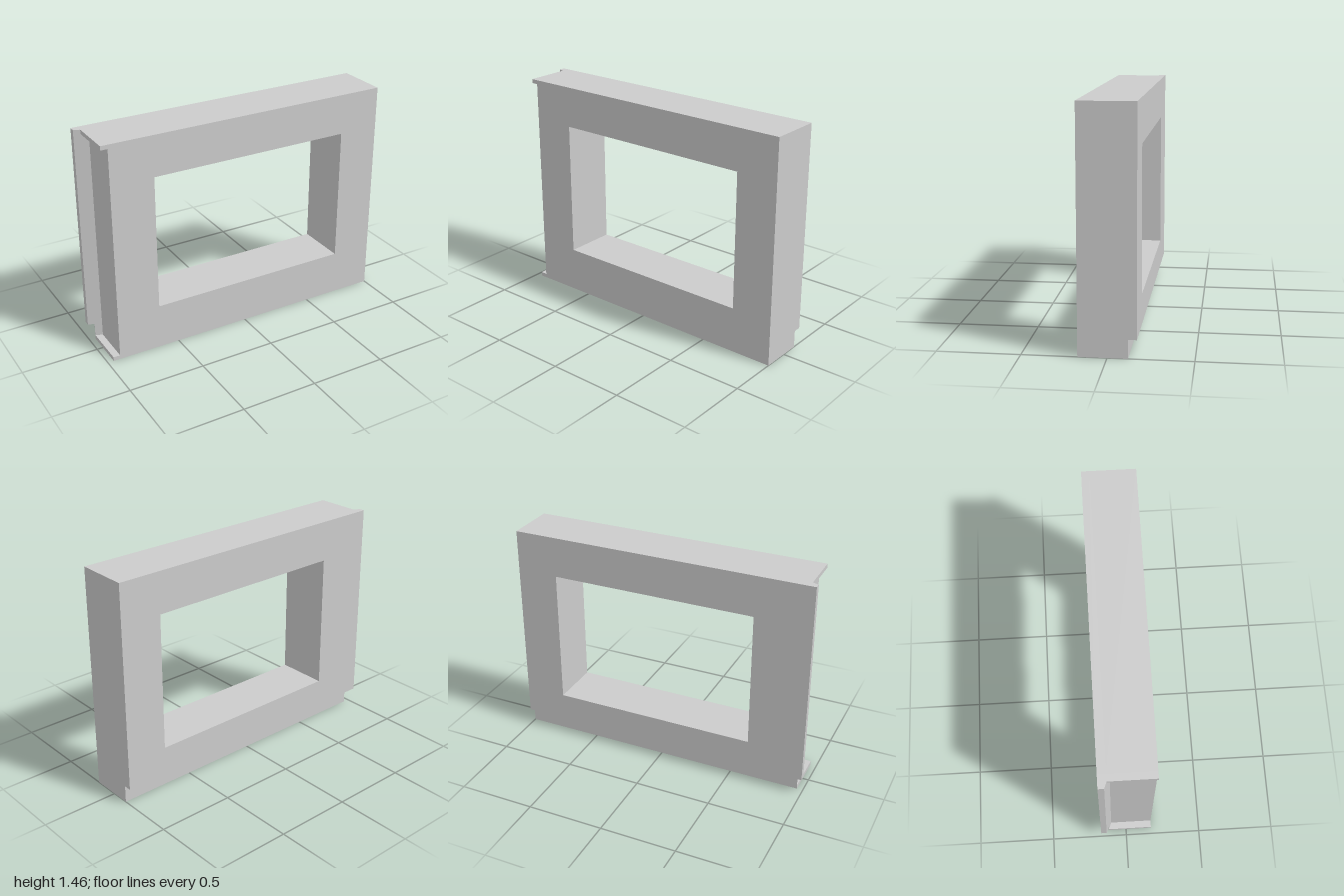
import * as THREE from 'three';

const HEIGHT = 1.463, FRONT = 0.171, BACK = -0.171, STEP = -0.12;
const WALL = -0.915, CAP = -0.96, LIP = -1, RIGHT = 1;
const SILL = 0.113, CAP_T = 0.027;

const material = new THREE.MeshStandardMaterial({ color: 0xcccccc, flatShading: true });

const shapeOf = (points) => new THREE.Shape(points.map(([x, y]) => new THREE.Vector2(x, y)));
const rect = (x0, y0, x1, y1) => [[x0, y0], [x1, y0], [x1, y1], [x0, y1]];

function addMesh(group, name, geometry) {
  const mesh = new THREE.Mesh(geometry, material);
  mesh.name = name;
  group.add(mesh);
}

// Rectangular slab with the window opening cut through it
function frameSlab(bottom, z0, z1) {
  const shape = shapeOf(rect(WALL, bottom, RIGHT, HEIGHT));
  shape.holes.push(shapeOf(rect(-0.63, 0.3, 0.725, 1.195)));
  return new THREE.ExtrudeGeometry(shape, { depth: z1 - z0, bevelEnabled: false }).translate(0, 0, z0);
}

// Plan outline given as [x, z], raised from y0 to y1
function planPrism(points, y0, y1) {
  const shape = shapeOf(points.map(([x, z]) => [x, -z]));
  return new THREE.ExtrudeGeometry(shape, { depth: y1 - y0, bevelEnabled: false })
    .rotateX(-Math.PI / 2).translate(0, y0, 0);
}

export function createModel() {
  const group = new THREE.Group();
  group.name = 'windowWallPanel';

  // Main frame, with a thinner back layer that stops above the bottom rebate
  addMesh(group, 'frameBody', frameSlab(0, STEP, FRONT));
  addMesh(group, 'frameBackLayer', frameSlab(SILL, BACK, STEP));

  // Side joint: end caps enclose a groove whose back wall is slanted
  addMesh(group, 'bottomCap', planPrism(rect(CAP, STEP, WALL, FRONT), 0, CAP_T));
  addMesh(group, 'lowerTongue', planPrism(
    [[CAP, STEP], [WALL, STEP], [WALL, -0.1], [CAP, -0.118]], CAP_T, SILL));
  addMesh(group, 'sideLip', planPrism(
    [[LIP, BACK], [WALL, BACK], [WALL, -0.1], [LIP, -0.134]], SILL, HEIGHT - CAP_T));
  addMesh(group, 'topCap', planPrism(
    [[LIP, BACK], [WALL, BACK], [WALL, FRONT], [CAP, FRONT], [CAP, -0.118], [LIP, -0.134]],
    HEIGHT - CAP_T, HEIGHT));

  return group;
}
